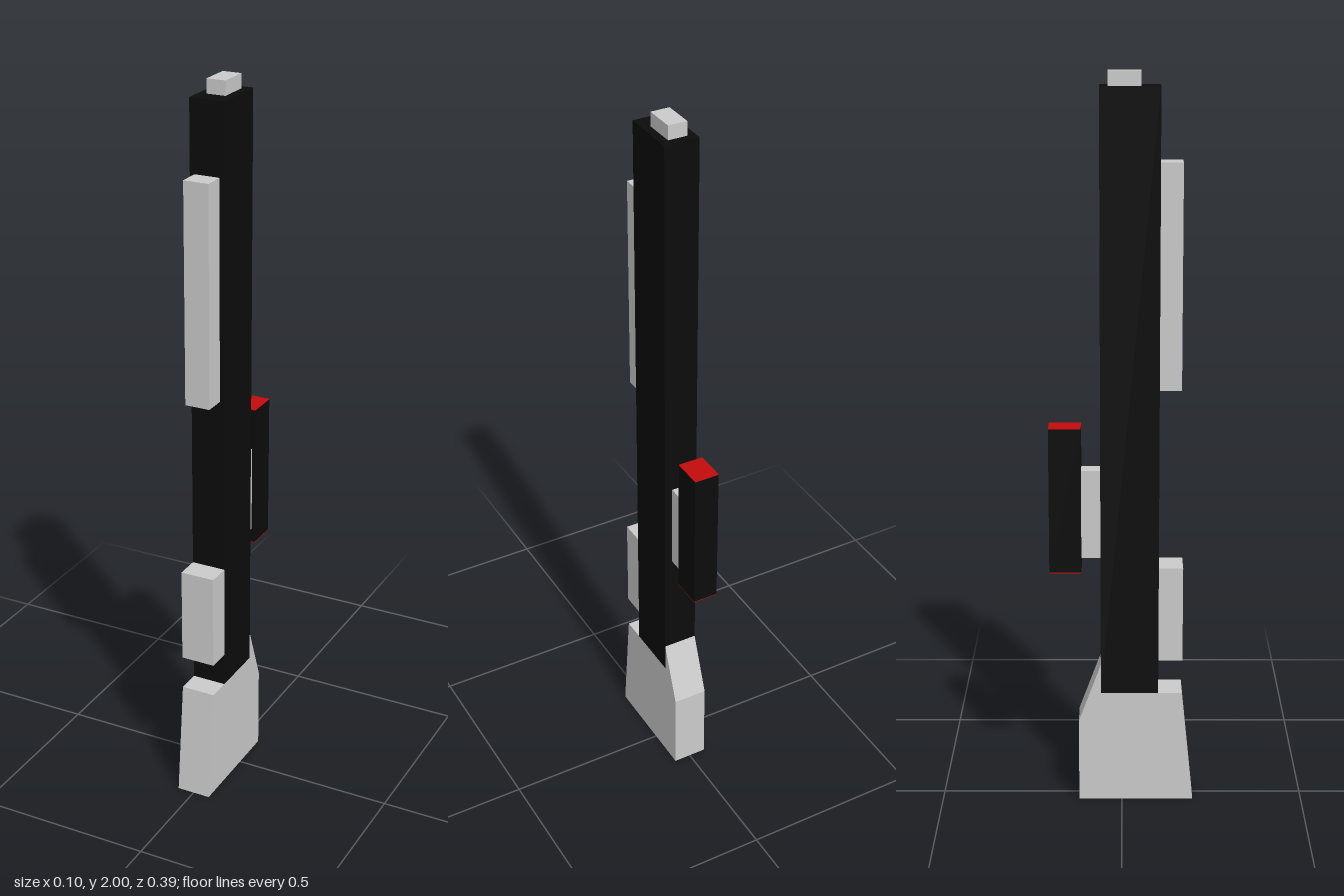
import * as THREE from 'three';

const grey = new THREE.MeshStandardMaterial({ color: 0xcccccc });
const black = new THREE.MeshStandardMaterial({ color: 0x0c0c0c });
const red = new THREE.MeshStandardMaterial({ color: 0xc40c0c });

// Box centred on x = 0, given its half width and its y and z ranges
function block(name, halfWidth, [y0, y1], [z0, z1], material) {
  const mesh = new THREE.Mesh(new THREE.BoxGeometry(halfWidth * 2, y1 - y0, z1 - z0), material);
  mesh.position.set(0, (y0 + y1) / 2, (z0 + z1) / 2);
  mesh.name = name;
  return mesh;
}

// Butt stock: side profile in (z, y), extruded across x
function buttStock(halfWidth) {
  const profile = [[0.197, 0], [0.165, 0.318], [-0.058, 0.318], [-0.058, 0.4], [-0.119, 0.235], [-0.119, 0]];
  const shape = new THREE.Shape(profile.map(([z, y]) => new THREE.Vector2(z, y)));
  const geometry = new THREE.ExtrudeGeometry(shape, { depth: halfWidth * 2, bevelEnabled: false });
  geometry.rotateY(-Math.PI / 2).translate(halfWidth, 0, 0);
  const mesh = new THREE.Mesh(geometry, grey);
  mesh.name = 'buttStock';
  return mesh;
}

export function createModel() {
  const model = new THREE.Group();
  model.name = 'rifle';
  model.add(
    buttStock(0.048),
    block('body', 0.048, [0.318, 1.962], [-0.058, 0.1], black),
    block('muzzle', 0.026, [1.962, 2], [-0.037, 0.05], grey),
    block('foreGrip', 0.035, [1.17, 1.77], [0.1, 0.159], grey),
    block('magazine', 0.048, [0.413, 0.679], [0.1, 0.166], grey),
  );

  // Scope on its mount, with a red lens at each end
  const scope = new THREE.Group();
  scope.name = 'scope';
  const scopeZ = [-0.197, -0.11];
  scope.add(
    block('scopeMount', 0.026, [0.702, 0.947], [-0.11, -0.058], grey),
    block('scopeTube', 0.035, [0.663, 1.064], scopeZ, black),
    block('frontLens', 0.035, [1.064, 1.066], scopeZ, red),
    block('rearLens', 0.035, [0.661, 0.663], scopeZ, red),
  );
  model.add(scope);
  return model;
}
